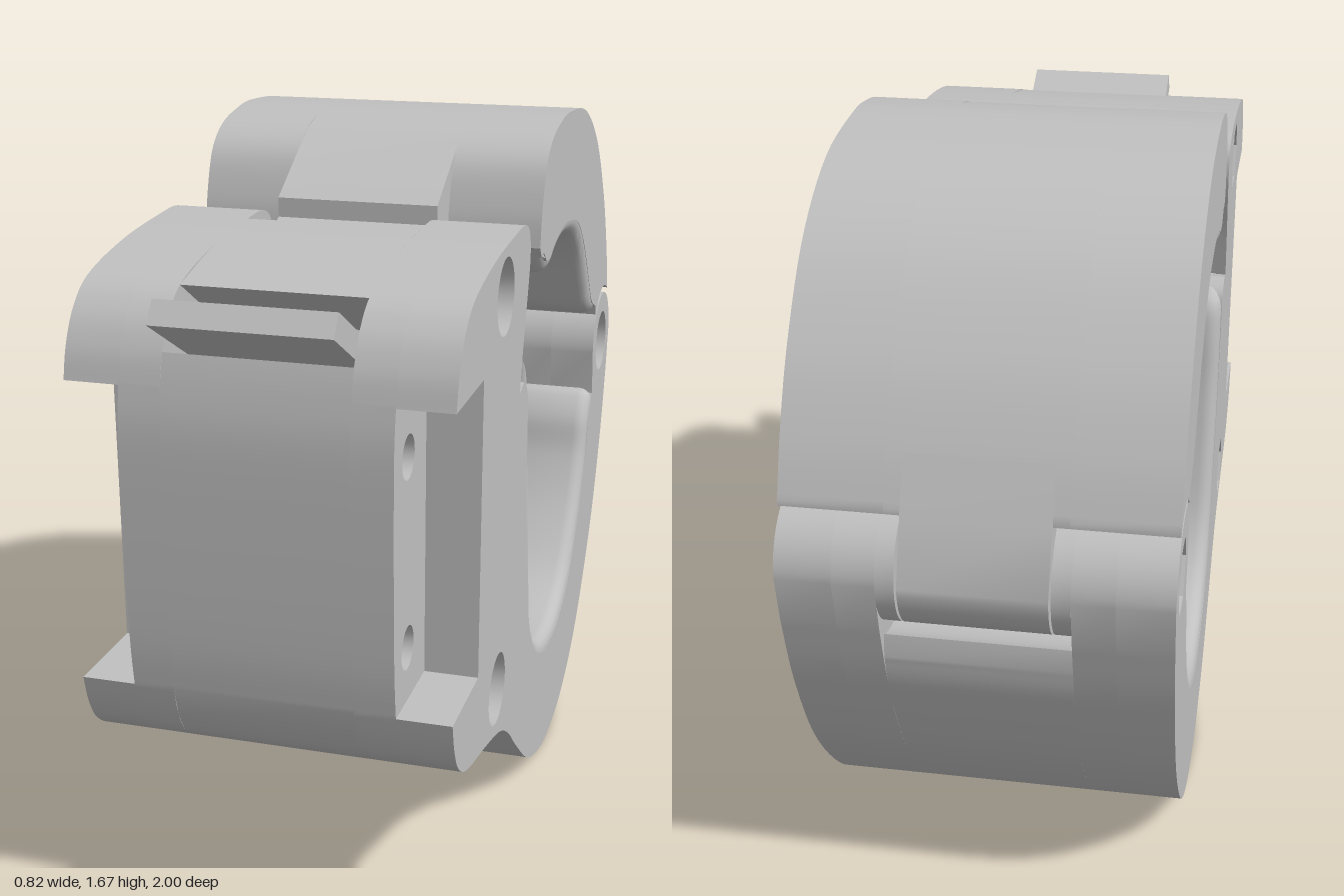
import * as THREE from 'three';
import { toCreasedNormals } from 'three/addons/utils/BufferGeometryUtils.js';

// All profiles are drawn in the side plane as [z, y] and extruded along x.
const HINGE = [-0.86, 0.93];
const BOLTS = [[0.49, 1.385], [0.49, 0.465]];
const PINS = [[0.83, 1.13], [0.83, 0.71]];
const BORE = 0.048, SINK = 0.085;

const curve = (pts, n = pts.length * 5) =>
  new THREE.SplineCurve(pts.map(p => new THREE.Vector2(...p))).getPoints(n).map(p => [p.x, p.y]);

function arc([z, y], r, a0, a1, n = 16) {
  return Array.from({ length: n + 1 }, (_, i) => {
    const a = THREE.MathUtils.degToRad(a0 + (a1 - a0) * i / n);
    return [z + r * Math.cos(a), y + r * Math.sin(a)];
  });
}
const hole = (c, r = BORE, sides = 28) => arc(c, r, 0, 360 - 360 / sides, sides - 1);

// Moves points away from the middle of the opening
const outward = (pts, d) => pts.map(([z, y]) => {
  const dz = z + 0.22, dy = y - 0.85, l = Math.hypot(dz, dy);
  return [z + dz / l * d, y + dy / l * d];
});
const toVectors = pts => pts.map(p => new THREE.Vector2(...p));

export function createModel() {
  const model = new THREE.Group();
  model.name = 'hingedClamp';
  const grey = new THREE.MeshStandardMaterial({ color: 0xc0c0c0 });
  grey.name = 'grey';

  function solid(name, pts, x0, x1, holes = [], bevel = 0) {
    const shape = new THREE.Shape(toVectors(pts));
    holes.forEach(h => shape.holes.push(new THREE.Path(toVectors(h))));
    let g = new THREE.ExtrudeGeometry(shape, {
      depth: x1 - x0 - 2 * bevel, bevelEnabled: bevel > 0, bevelThickness: bevel,
      bevelSize: bevel, bevelOffset: -bevel, bevelSegments: 5, curveSegments: 1,
    });
    g.rotateY(-Math.PI / 2).translate(x1 - bevel, 0, 0);
    const mesh = new THREE.Mesh(toCreasedNormals(g, 0.6), grey);
    mesh.name = name;
    model.add(mesh);
  }

  // ---- Lower body profiles
  const bodyInner = [[-0.74, 0.82], [-0.7, 0.81], [-0.655, 0.75], [-0.625, 0.65], [-0.55, 0.52],
    [-0.43, 0.39], [-0.31, 0.33], [-0.2, 0.315], [-0.07, 0.335], [0.03, 0.395], [0.1, 0.5],
    [0.14, 0.65], [0.17, 0.85], [0.18, 1.0], [0.195, 1.08], [0.24, 1.115], [0.31, 1.12]];
  const lobe = curve([[0.315, 1.12], [0.285, 1.24], [0.25, 1.35], [0.235, 1.42], [0.25, 1.475], [0.3, 1.5],
    [0.4, 1.5], [0.6, 1.485], [0.78, 1.45], [0.86, 1.4], [0.905, 1.33], [0.925, 1.26]]);
  const frontFace = curve([[0.925, 1.26], [0.938, 1.15], [0.938, 0.9], [0.932, 0.7], [0.92, 0.59]]);
  const notch = [[0.925, 1.26], [0.69, 1.26], [0.69, 0.59], [0.92, 0.59]];
  const underside = curve([[0.92, 0.59], [0.9, 0.52], [0.86, 0.46], [0.78, 0.415], [0.6, 0.375],
    [0.45, 0.335], [0.35, 0.28], [0.25, 0.195], [0.1, 0.08], [-0.05, 0.02], [-0.2, 0.002],
    [-0.4, 0.035], [-0.6, 0.15], [-0.8, 0.38], [-0.92, 0.62], [-0.98, 0.82]]);
  const lug = [...arc(HINGE, 0.14, 180, 0, 24), [-0.735, 0.82]];
  const bodyEdge = curve(outward(bodyInner.slice(1, -1), 0.035));
  const bodyOutline = front => [...lobe, ...front.slice(1, -1), ...underside, ...lug, ...bodyEdge];
  const bolted = [...BOLTS, HINGE];

  // Side plates: an inner layer, and an outer layer with pockets and countersinks
  for (const s of [-1, 1]) {
    const span = (a, b) => (s > 0 ? [a, b] : [-b, -a]);
    solid('bodyPlate', bodyOutline(frontFace), ...span(0.2, 0.29),
      [...bolted, ...PINS].map(c => hole(c)));
    solid('bodyOuterPlate', bodyOutline(notch), ...span(0.29, 0.41),
      bolted.map(c => hole(c, SINK, s > 0 ? 32 : 6)));
    solid('hingeLug', hole(HINGE, 0.14, 36), ...span(0.16, 0.2), [hole(HINGE)]);
    const rim = curve(bodyInner);
    solid('bodyPad', [...rim, ...outward(rim, 0.09).reverse()],
      ...(s > 0 ? [0.17, 0.409] : [-0.409, -0.17]), [], 0.035);
  }

  // Centre of the lower ring, ending at the strap slot and the hinge gap
  solid('ringCentre', [
    ...curve([...bodyInner.slice(0, 9), [0.0, 0.375]]),
    ...curve([[0.05, 0.29], [0.08, 0.21], [0.05, 0.12], [0.0, 0.06], [-0.08, 0.015]]),
    ...curve([[-0.2, 0.002], [-0.4, 0.035], [-0.6, 0.15], [-0.8, 0.38], [-0.92, 0.62], [-0.95, 0.73]]),
    ...arc(HINGE, 0.17, 240, 318),
  ], -0.2, 0.2);

  // Centre of the front block with latch channel and lever window
  solid('frontBlockCentre', [
    ...curve([[0.09, 0.48], [0.14, 0.65], [0.17, 0.85], [0.178, 0.96]]),
    [0.4, 0.96], [0.4, 1.5],
    ...curve([[0.41, 1.5], [0.6, 1.485], [0.8, 1.443]]),
    [0.6, 1.32], [0.64, 1.22], [0.905, 1.33],
    ...frontFace,
    ...curve([[0.9, 0.52], [0.86, 0.46], [0.78, 0.415], [0.6, 0.375], [0.45, 0.335]]),
    [0.2, 0.345],
  ], -0.2, 0.2, [...BOLTS, ...PINS].map(c => hole(c)));

  // Release lever poking out of the window
  solid('latchLever', [[1.0, 1.41], [0.967, 1.455], [0.62, 1.262], [0.645, 1.212]], -0.19, 0.19);

  // ---- Upper arm profiles
  const armInner = [[-0.74, 1.05], [-0.7, 1.05], [-0.63, 1.08], [-0.57, 1.15], [-0.48, 1.26],
    [-0.37, 1.34], [-0.22, 1.368], [-0.1, 1.355], [-0.03, 1.33], [0.02, 1.33], [0.07, 1.37]];
  const armTop = [[-0.94, 1.08], [-0.89, 1.21], [-0.8, 1.37], [-0.65, 1.54], [-0.45, 1.647],
    [-0.22, 1.675], [-0.1, 1.667], [0, 1.643]];
  const armSide = [
    ...curve([...armTop, [0.07, 1.59], [0.11, 1.49], [0.122, 1.41]]),
    [0.1, 1.383], [0.075, 1.39],
    ...curve(outward(armInner.slice(1, -1), 0.035)).reverse(),
    ...arc(HINGE, 0.16, 42, 120),
  ];
  solid('armSide', armSide, 0.19, 0.41);
  solid('armSide', armSide, -0.41, -0.19);

  const armRim = curve(armInner);
  solid('armPad', [...armRim, ...outward(armRim, 0.09).reverse()], -0.409, 0.409, [], 0.035);

  // Centre of the arm: latch tongue at one end, hinge knuckle at the other
  solid('armTongue', [
    ...curve(armTop),
    [0.22, 1.515], [0.22, 1.47], [0.3, 1.44], [0.34, 1.34], [0.34, 0.98], [0.182, 0.98],
    ...curve([[0.165, 1.12], [0.12, 1.23], [0.05, 1.31], [-0.02, 1.345], [-0.1, 1.36],
      ...armInner.slice(1, 7).reverse()]),
    ...arc(HINGE, 0.16, 42, 120),
  ], -0.19, 0.19);
  solid('hingeKnuckle', [
    [-0.9, 1.19], [-0.95, 1.07], ...arc(HINGE, 0.14, 180, 360, 24), [-0.74, 1.05], [-0.7, 1.06],
  ], -0.155, 0.155, [hole(HINGE)]);

  return model;
}
